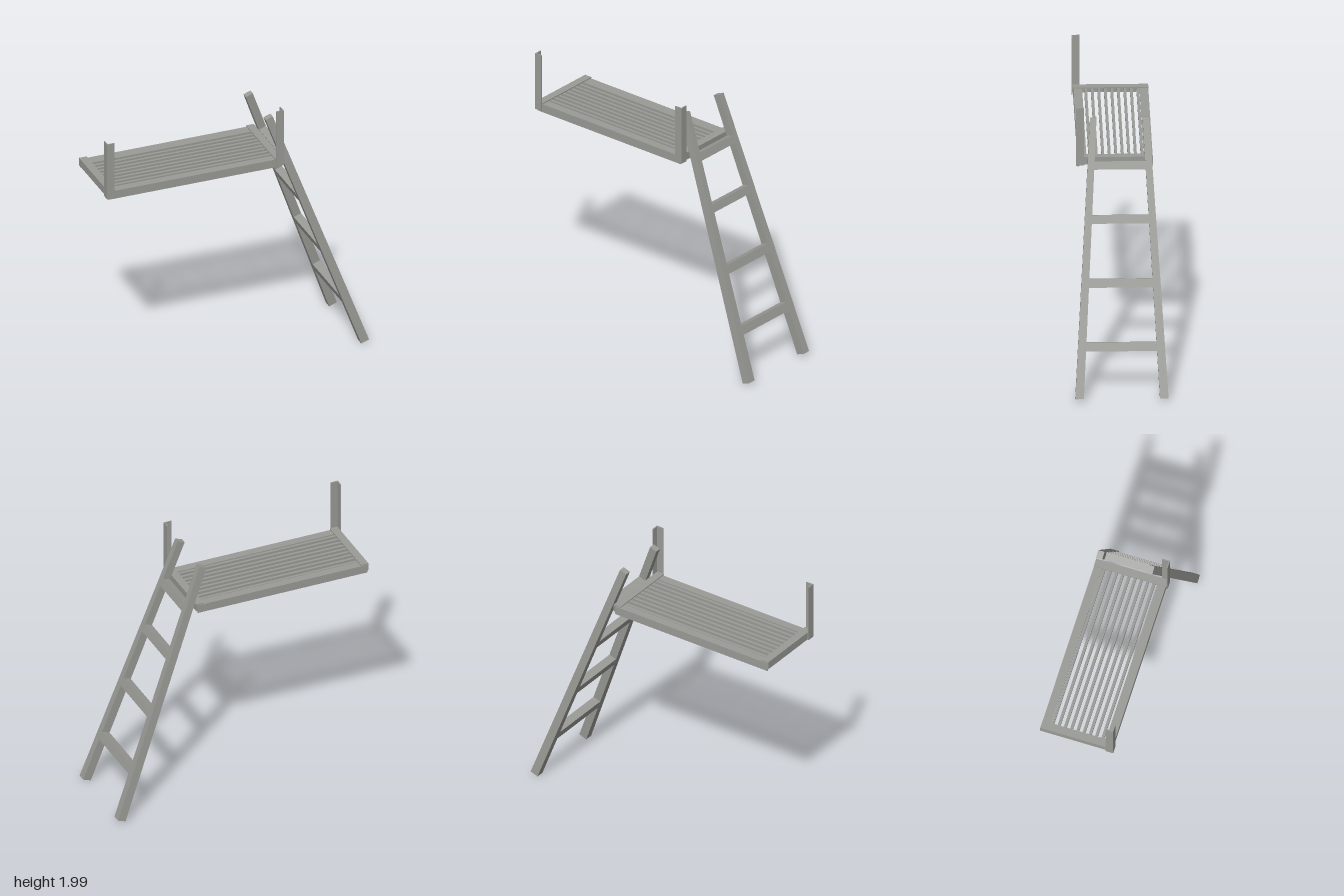
import * as THREE from 'three';

const steel = new THREE.MeshStandardMaterial({ color: 0x9a9a96 });
steel.name = 'grey steel';

const add = (parent, name, geometry) => {
  const mesh = new THREE.Mesh(geometry, steel);
  mesh.name = name;
  parent.add(mesh);
  return mesh;
};

// L-section bar along z; the outer corner is at the origin, legs run towards sx and sy
function angleBar(length, sx, sy, w = 0.058, t = 0.008) {
  const pts = [[0, 0], [w, 0], [w, t], [t, t], [t, w], [0, w]];
  const shape = new THREE.Shape(pts.map(([a, b]) => new THREE.Vector2(a * sx, b * sy)));
  return new THREE.ExtrudeGeometry(shape, { depth: length, bevelEnabled: false });
}

function createPlatform() {
  const g = new THREE.Group();
  g.name = 'platform';

  // Long rails, flange on top and web on the outside
  for (const [name, z, s] of [['frontRail', 0.298, 1], ['backRail', -0.235, -1]]) {
    add(g, name, angleBar(1.32, s, -1, 0.063).rotateY(Math.PI / 2)).position.set(-0.985, 1.597, z);
  }

  // End rails resting on the long rails, and upright posts at the front corners
  for (const [side, x, s] of [['right', -1, 1], ['left', 0.355, -1]]) {
    add(g, side + 'EndRail', angleBar(0.537, s, -1)).position.set(x + s * 0.008, 1.609, -0.235);
    add(g, side + 'Post', angleBar(0.44, s, 1).rotateX(-Math.PI / 2)).position.set(x, 1.547, 0.31);
  }

  // Grating bars
  for (let i = 0; i < 9; i++) {
    add(g, 'gratingBar', new THREE.BoxGeometry(1.32, 0.022, 0.02))
      .position.set(-0.325, 1.588, -0.16 + i * 0.0463);
  }
  return g;
}

function createLadder() {
  const g = new THREE.Group();
  g.name = 'ladder';
  const L = 1.9985, lean = 0.35;
  const lerp = THREE.MathUtils.lerp;

  // Stringers converge and taper slightly towards the top
  for (const side of [1, -1]) {
    const geo = new THREE.BoxGeometry(1, L, 1).translate(0, L / 2, 0);
    const p = geo.attributes.position;
    for (let i = 0; i < p.count; i++) {
      const k = p.getY(i) / L;
      const outer = p.getZ(i) * side > 0;
      p.setX(i, p.getX(i) * lerp(0.063, 0.057, k));
      p.setZ(i, side * (outer ? lerp(0.331, 0.209, k) : lerp(0.27, 0.163, k)));
    }
    geo.computeVertexNormals();
    add(g, side > 0 ? 'frontStringer' : 'backStringer', geo);
  }

  // Rungs
  for (const y of [0.358, 0.782, 1.208, 1.568]) {
    const s = (y - 0.0108) / Math.cos(lean), k = s / L;
    const half = lerp(0.285, 0.175, k);
    add(g, 'rung', new THREE.BoxGeometry(lerp(0.061, 0.056, k), lerp(0.066, 0.058, k), half * 2))
      .position.y = s;
  }

  g.position.set(0.97, 0.0108, 0);
  g.rotation.z = lean;
  return g;
}

export function createModel() {
  const model = new THREE.Group();
  model.name = 'platformWithLadder';
  model.add(createPlatform(), createLadder());
  return model;
}
